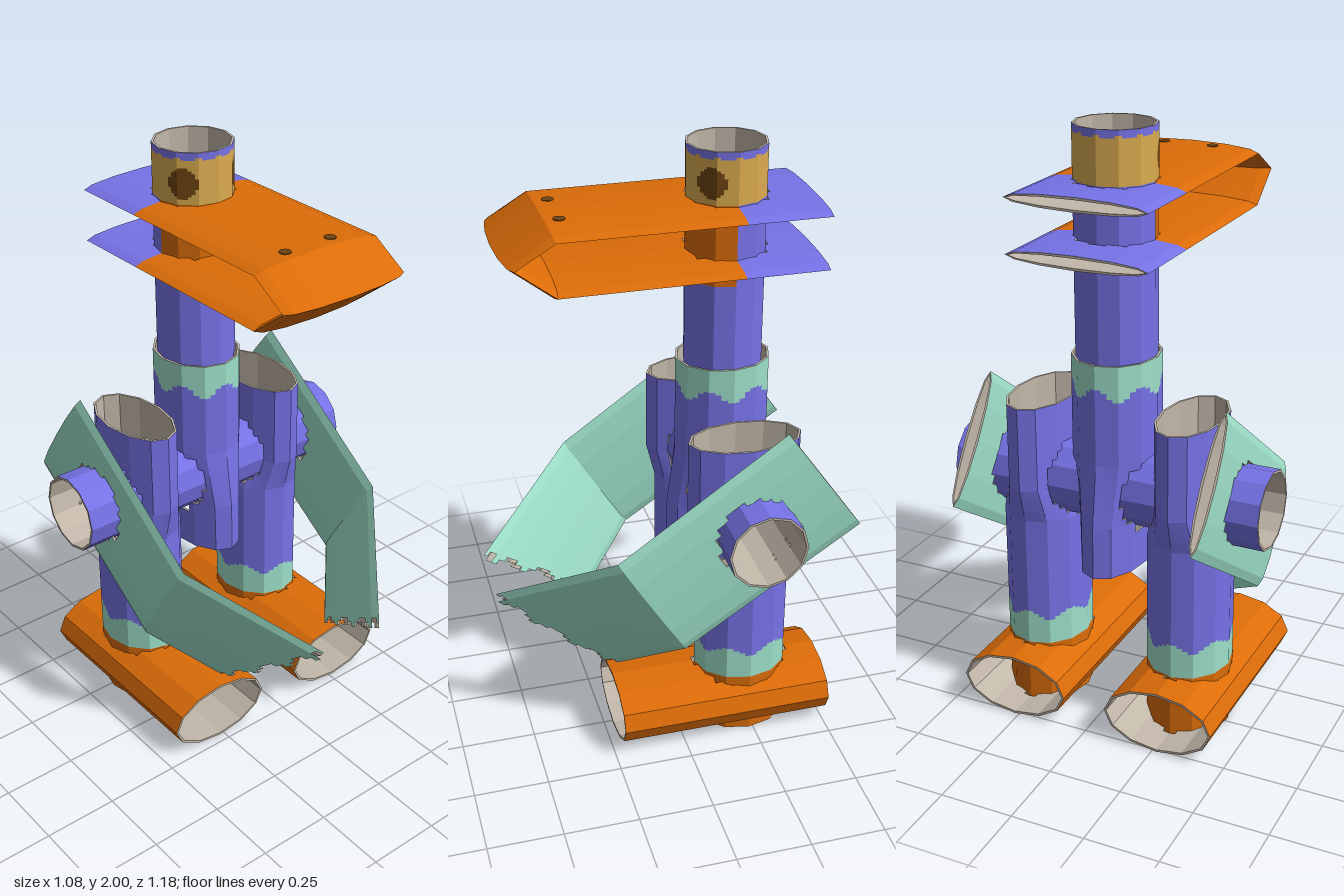
import * as THREE from 'three';

const V = (x, y, z) => new THREE.Vector3(x, y, z);
const SIDES = 12, WALL = 0.008;
const Z = -0.235, LEG_X = 0.265, ARM_Y = 0.815;

function makeMaterials() {
  const colours = {
    purple: 0x7874ea, orange: 0xdc6c08, mint: 0x9ee0ca,
    gold: 0xdcac50, brown: 0x6e4412, card: 0xc2b7a9,
  };
  const mats = {};
  for (const [name, color] of Object.entries(colours)) {
    mats[name] = new THREE.MeshStandardMaterial({ color });
    mats[name].name = name;
  }
  return mats;
}

// One loop of points around a ring {c, a, b}, with each facet cut in sub pieces
function loop({ c, a, b }, sub) {
  const corner = (k) => {
    const t = (k / SIDES) * Math.PI * 2;
    return c.clone().addScaledVector(a, Math.cos(t)).addScaledVector(b, Math.sin(t));
  };
  return Array.from({ length: SIDES * sub }, (_, u) => {
    const k = Math.floor(u / sub);
    return corner(k).lerp(corner(k + 1), u / sub - k);
  });
}

// Cardboard tube with a thin wall through rings {c, a, b}: centre and two half axes.
// Small cells are coloured by paint() and left out where keep() is false.
function tube(mats, name, rings, { rows = [], sub = 1, paint, keep = () => true }) {
  const n = SIDES * sub, cells = {};
  const d = rings[1].c.clone().sub(rings[0].c);
  const turn = Math.sign(rings[0].a.clone().cross(rings[0].b).dot(d));
  const outerRings = rings.map(({ c, a, b }) => ({ c, a, b: b.clone().multiplyScalar(turn) }));
  const thinner = (v) => v.clone().setLength(v.length() - WALL);
  const innerRings = outerRings.map(({ c, a, b }) => ({ c, a: thinner(a), b: thinner(b) }));

  const spread = (list) => {
    const loops = list.map((r) => loop(r, sub));
    const out = [loops[0]];
    for (let s = 0; s + 1 < loops.length; s++) {
      const m = rows[s] ?? 1;
      for (let j = 1; j <= m; j++) out.push(loops[s].map((p, u) => p.clone().lerp(loops[s + 1][u], j / m)));
    }
    return out;
  };
  const outer = spread(outerRings), inner = spread(innerRings);
  const quad = (colour, p, q, r, t) => {
    const list = (cells[colour] ??= []);
    for (const v of [p, q, r, p, r, t]) list.push(v.x, v.y, v.z);
  };
  const middle = (j, u) => {
    const w = (u + 1) % n;
    return outer[j][u].clone().add(outer[j][w]).add(outer[j + 1][w]).add(outer[j + 1][u]).multiplyScalar(0.25);
  };
  const angleOf = (u) => ((u + 0.5) / n) * Math.PI * 2;
  const last = outer.length - 1;
  const kept = Array.from({ length: last }, (_, j) => Array.from({ length: n },
    (_, u) => keep(middle(j, u), (j + 0.5) / last, angleOf(u))));

  for (let j = 0; j < last; j++) {
    for (let u = 0; u < n; u++) {
      if (!kept[j][u]) continue;
      const w = (u + 1) % n;
      const o = [outer[j][u], outer[j][w], outer[j + 1][w], outer[j + 1][u]];
      const i = [inner[j][u], inner[j][w], inner[j + 1][w], inner[j + 1][u]];
      quad(paint(middle(j, u), angleOf(u)), ...o);
      quad('card', i[0], i[3], i[2], i[1]);
      // Cut edges at tube ends and holes
      const next = [kept[j - 1]?.[u], kept[j][w], kept[j + 1]?.[u], kept[j][(u + n - 1) % n]];
      next.forEach((there, e) => {
        const f = (e + 1) % 4;
        if (!there) quad('card', o[f], o[e], i[e], i[f]);
      });
    }
  }

  const group = new THREE.Group();
  group.name = name;
  for (const [colour, list] of Object.entries(cells)) {
    const geo = new THREE.BufferGeometry();
    geo.setAttribute('position', new THREE.Float32BufferAttribute(list, 3));
    geo.computeVertexNormals();
    const mesh = new THREE.Mesh(geo, mats[colour]);
    mesh.name = colour === 'card' ? `${name}Inside` : `${name}${colour[0].toUpperCase()}${colour.slice(1)}`;
    group.add(mesh);
  }
  return group;
}

// Ring of an upright tube
const level = (x, y, rx, rz) => ({ c: V(x, y, Z), a: V(0, 0, rz), b: V(rx, 0, 0) });
const wave = (angle, count) => 0.02 * Math.cos(angle * count);
const outsideArm = (p) => Math.hypot(p.y - ARM_Y, p.z - Z) > 0.135;

export function createModel() {
  const mats = makeMaterials();
  const model = new THREE.Group();
  model.name = 'tubeBird';

  // Neck and head, with painted crown, eyes and throat
  const eye = (p) => Math.hypot(Math.abs(p.x) - 0.108, p.y - 1.897, p.z - Z - 0.083) < 0.05;
  model.add(tube(mats, 'head',
    [1.25, 1.56, 1.83, 2.0].map((y) => level(0, y, 0.133, 0.133)), {
      rows: [1, 1, 20], sub: 6,
      paint: (p, t) => {
        if (p.y < 1.56) return 'purple';
        if (p.y < 1.83) return p.z > Z ? 'orange' : 'purple';
        if (eye(p)) return 'brown';
        return p.y > 1.978 + 0.4 * wave(t, 12) ? 'purple' : 'gold';
      },
    }));

  // Beak: one flattened tube folded around the neck
  const fold = (y, z, by, bz) => ({ c: V(0, y, z), a: V(0.238, 0, 0), b: V(0, by, bz) });
  model.add(tube(mats, 'beak', [
    fold(1.806, -0.51, 0.023, 0), fold(1.806, Z, 0.023, 0), fold(1.806, 0.36, 0.023, 0.008),
    fold(1.73, 0.488, 0, 0.034),
    fold(1.63, 0.36, -0.023, 0.008), fold(1.63, Z, -0.023, 0), fold(1.63, -0.51, -0.023, 0),
  ], {
    rows: [12, 25, 1, 1, 25, 12], sub: 4,
    paint: (p) => (p.z > Z ? 'orange' : 'purple'),
    keep: (p) => Math.hypot(p.x, p.z - Z) > 0.13,
  }));
  for (const side of [-1, 1]) {
    const nostril = new THREE.Mesh(new THREE.CylinderGeometry(0.02, 0.02, 0.006, 8), mats.brown);
    nostril.name = 'nostril';
    nostril.position.set(side * 0.088, 1.826, 0.32);
    model.add(nostril);
  }

  // Body, pinched flat at the bottom, with a wavy collar
  model.add(tube(mats, 'body', [
    level(0, 0.54, 0.105, 0.192), level(0, 0.72, 0.108, 0.19),
    level(0, 0.93, 0.143, 0.162), level(0, 1.12, 0.143, 0.162), level(0, 1.27, 0.143, 0.162),
  ], {
    rows: [4, 10, 2, 15], sub: 4, keep: outsideArm,
    paint: (p, t) => (p.y > 1.17 + wave(t, 6) ? 'mint' : 'purple'),
  }));

  // Cross tube that holds body, legs and wings together
  const armRing = (x) => ({ c: V(x, ARM_Y, Z), a: V(0, 0.133, 0), b: V(0, 0, 0.133) });
  model.add(tube(mats, 'crossTube', [armRing(-0.542), armRing(0.542)], { paint: () => 'purple' }));

  for (const side of [-1, 1]) {
    const which = side > 0 ? 'left' : 'right';
    const x = side * LEG_X;

    // Leg, pinched flat at the top, with a wavy cuff
    model.add(tube(mats, `${which}Leg`, [
      level(x, 0, 0.141, 0.162), level(x, 0.22, 0.141, 0.162), level(x, 0.38, 0.141, 0.162),
      level(x, 0.68, 0.141, 0.162), level(x, 0.8, 0.106, 0.192), level(x, 1.09, 0.106, 0.192),
    ], {
      rows: [1, 16, 2, 6, 12], sub: 4, keep: outsideArm,
      paint: (p, t) => {
        if (p.y < 0.22) return 'orange';
        return p.y < 0.325 + wave(t, 6) ? 'mint' : 'purple';
      },
    }));

    // Foot: a flattened tube lying along z, with a hole for the leg and a dark toe pad
    const footRing = (z) => ({ c: V(x, 0.11, z), a: V(0.19, 0, 0), b: V(0, 0.11, 0) });
    const toePad = (p) => p.y < 0.05 && Math.hypot(p.x - x, p.z - 0.14) < 0.06;
    model.add(tube(mats, `${which}Foot`, [footRing(-0.51), footRing(0.22)], {
      rows: [28], sub: 4, paint: (p) => (toePad(p) ? 'brown' : 'orange'),
      keep: (p) => Math.hypot((p.x - x) / 0.141, (p.z - Z) / 0.162) > 0.98,
    }));

    // Wing: a flattened tube, bent inwards, with a ragged tip
    const wingRing = (upper, lower, thick) => {
      const [up, low, b] = [upper, lower, thick].map(([px, py, pz]) => V(side * px, py, pz));
      return {
        c: up.clone().add(low).multiplyScalar(0.5),
        a: up.clone().sub(low).multiplyScalar(0.5),
        b,
      };
    };
    model.add(tube(mats, `${which}Wing`, [
      wingRing([0.415, 1.165, -0.33], [0.415, 0.79, -0.595], [0.025, 0, 0]),
      wingRing([0.415, 0.77, 0.23], [0.415, 0.395, 0], [0.025, 0, 0]),
      wingRing([0.112, 0.515, 0.6], [0.235, 0.24, 0.2], [0.018, 0, 0.015]),
    ], {
      rows: [28, 28], sub: 4, paint: () => 'mint',
      keep: (p, along, t) => outsideArm(p) && along < 1 - 0.04 * Math.abs(Math.sin(5 * t)),
    }));
  }
  return model;
}
